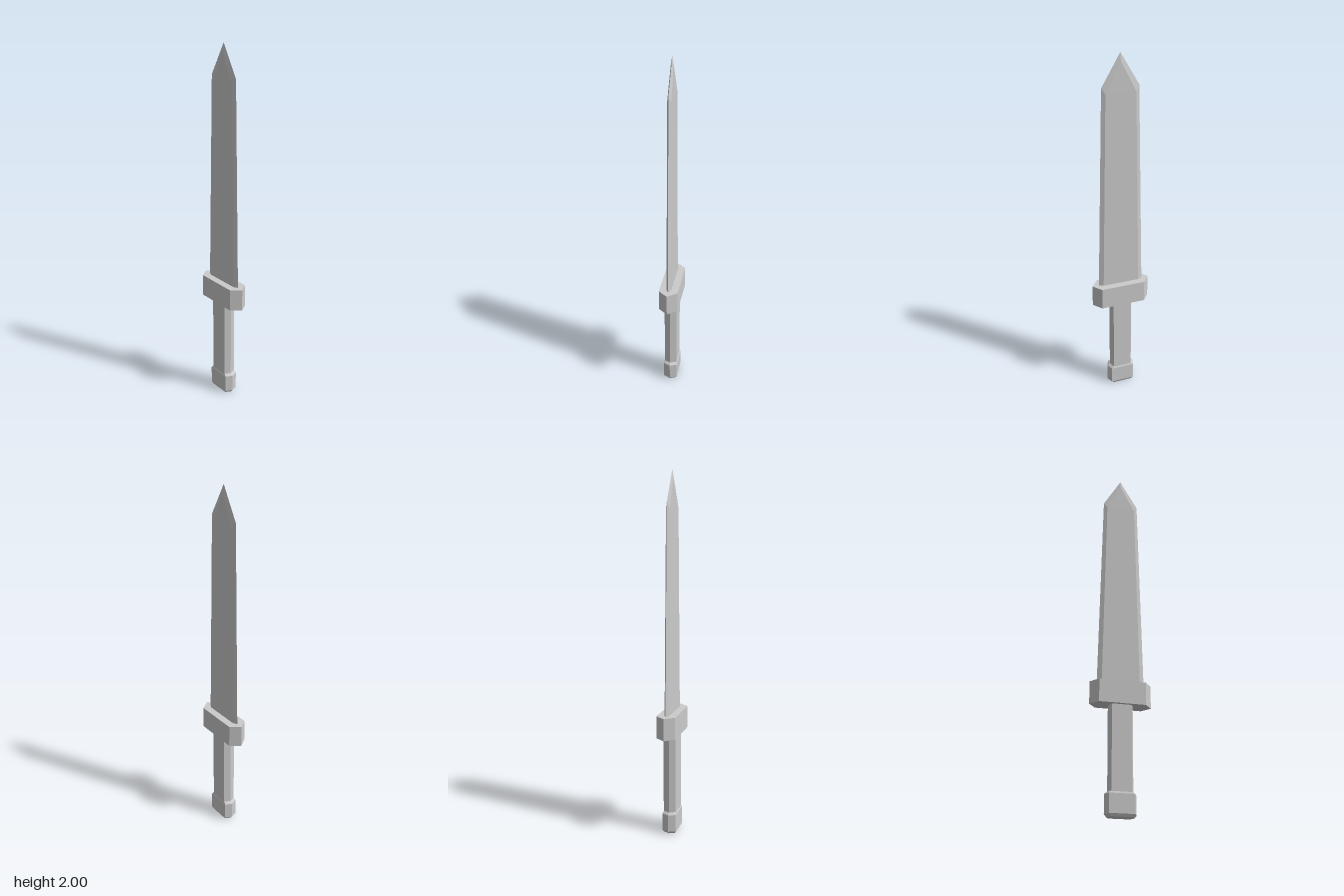
import * as THREE from 'three';

// Six-sided section: flat faces at +-x, pointed edges at +-zEdge.
// The edges may sit at another height than the flats.
const section = (y, x, zFlat, zEdge, yEdge = y) => [
  [x, y, -zFlat], [0, yEdge, -zEdge], [-x, y, -zFlat],
  [-x, y, zFlat], [0, yEdge, zEdge], [x, y, zFlat],
].map((p) => new THREE.Vector3(...p));

// Skins a stack of sections from bottom to top and caps both ends
function loft(name, sections) {
  const positions = [];
  const triangle = (a, b, c) => {
    const area = b.clone().sub(a).cross(c.clone().sub(a)).length();
    if (area > 1e-9) positions.push(...a, ...b, ...c);
  };
  for (let k = 0; k < sections.length - 1; k++) {
    const low = sections[k], high = sections[k + 1];
    for (let i = 0; i < 6; i++) {
      const j = (i + 1) % 6;
      triangle(low[i], low[j], high[j]);
      triangle(low[i], high[j], high[i]);
    }
  }
  const bottom = sections[0], top = sections[sections.length - 1];
  for (let i = 1; i < 5; i++) {
    triangle(bottom[0], bottom[i + 1], bottom[i]);
    triangle(top[0], top[i], top[i + 1]);
  }
  const geometry = new THREE.BufferGeometry();
  geometry.setAttribute('position', new THREE.Float32BufferAttribute(positions, 3));
  geometry.computeVertexNormals();
  const mesh = new THREE.Mesh(
    geometry,
    new THREE.MeshStandardMaterial({ color: 0xcccccc, flatShading: true }),
  );
  mesh.name = name;
  return mesh;
}

export function createModel() {
  const group = new THREE.Group();
  group.name = 'dagger';

  // Pommel with chamfered ends
  group.add(loft('pommel', [
    section(0, 0.032, 0.056, 0.072),
    section(0.014, 0.039, 0.066, 0.083),
    section(0.112, 0.039, 0.066, 0.083),
    section(0.124, 0.034, 0.056, 0.07),
  ]));

  // Straight grip
  group.add(loft('grip', [
    section(0.11, 0.035, 0.053, 0.067),
    section(0.58, 0.035, 0.053, 0.067),
  ]));

  // Crossguard
  group.add(loft('guard', [
    section(0.573, 0.053, 0.125, 0.166),
    section(0.697, 0.053, 0.125, 0.166),
  ]));

  // Tapered blade with bevelled edges and a pointed tip
  group.add(loft('blade', [
    section(0.69, 0.013, 0.104, 0.128),
    section(1.8, 0.01, 0.081, 0.1, 1.83),
    section(1.96, 0.007, 0, 0, 2),
  ]));

  return group;
}
